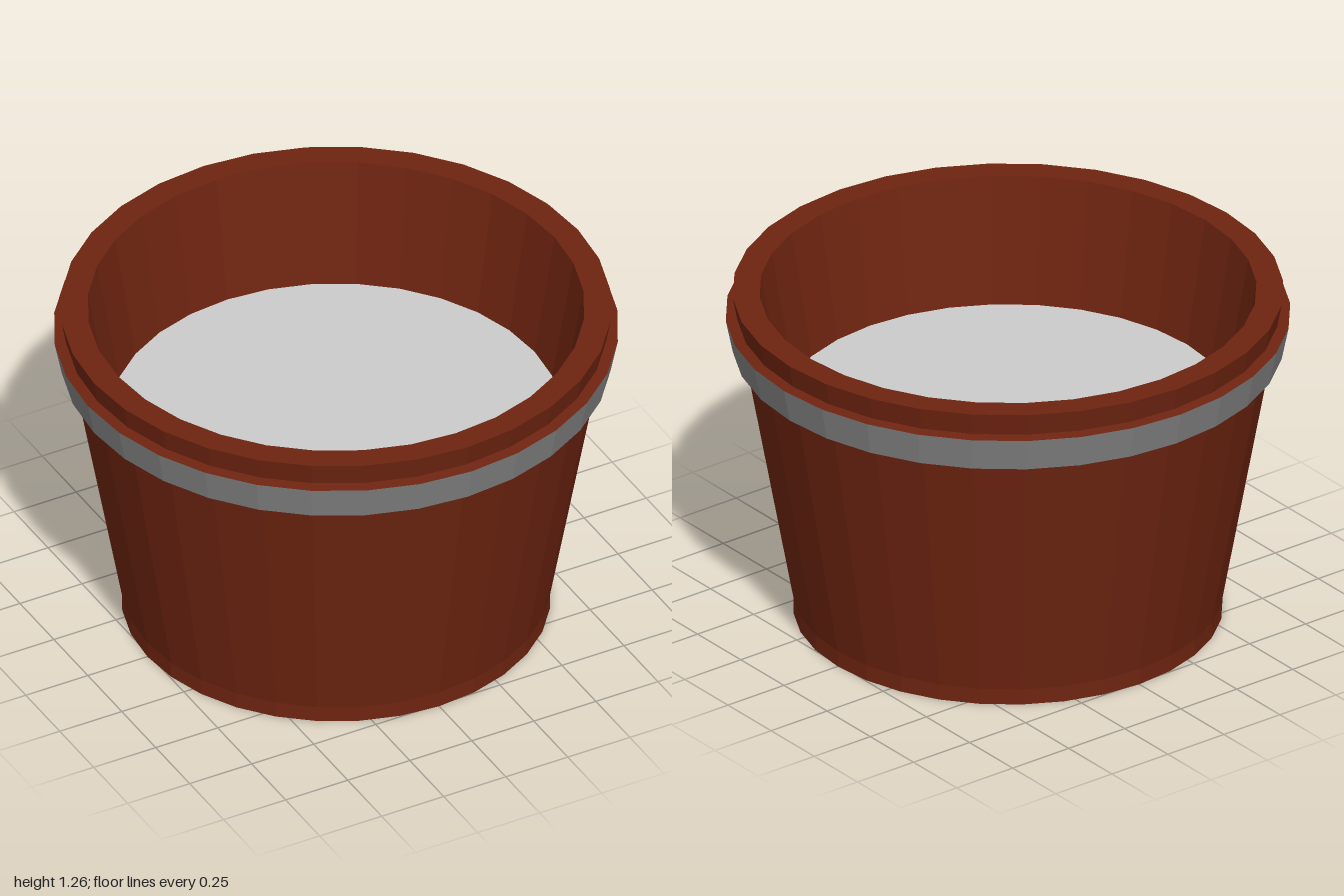
import * as THREE from 'three';

const SIDES = 32;

// Faceted ring or shell from [radius, height] pairs; going upward faces outward
function turned(name, profile, color) {
  const points = profile.map(([r, y]) => new THREE.Vector2(r, y));
  const material = new THREE.MeshStandardMaterial({ color, flatShading: true });
  const mesh = new THREE.Mesh(new THREE.LatheGeometry(points, SIDES), material);
  mesh.name = name;
  return mesh;
}

export function createModel() {
  const model = new THREE.Group();
  model.name = 'plantPot';
  const clay = 0x6e2410;

  // Closed base, short upright foot, tapered wall, flat rim and inner wall
  model.add(turned('potShell', [
    [0, 0], [0.76, 0], [0.76, 0.06], [0.975, 1.26], [0.88, 1.26], [0.8, 0.79],
  ], clay));

  // Flared grey band with clay ledges above and below it
  model.add(turned('band', [[0.975, 1.045], [1, 1.17]], 0x828282));
  model.add(turned('bandLowerLedge', [[0.936, 1.045], [0.975, 1.045]], clay));
  model.add(turned('bandUpperLedge', [[1, 1.17], [0.958, 1.175]], clay));

  // Fill surface inside the pot
  const fill = new THREE.Mesh(
    new THREE.CircleGeometry(0.8, SIDES).rotateX(-Math.PI / 2),
    new THREE.MeshStandardMaterial({ color: 0xcccccc, flatShading: true }),
  );
  fill.name = 'fillSurface';
  fill.position.y = 0.79;
  model.add(fill);

  return model;
}
